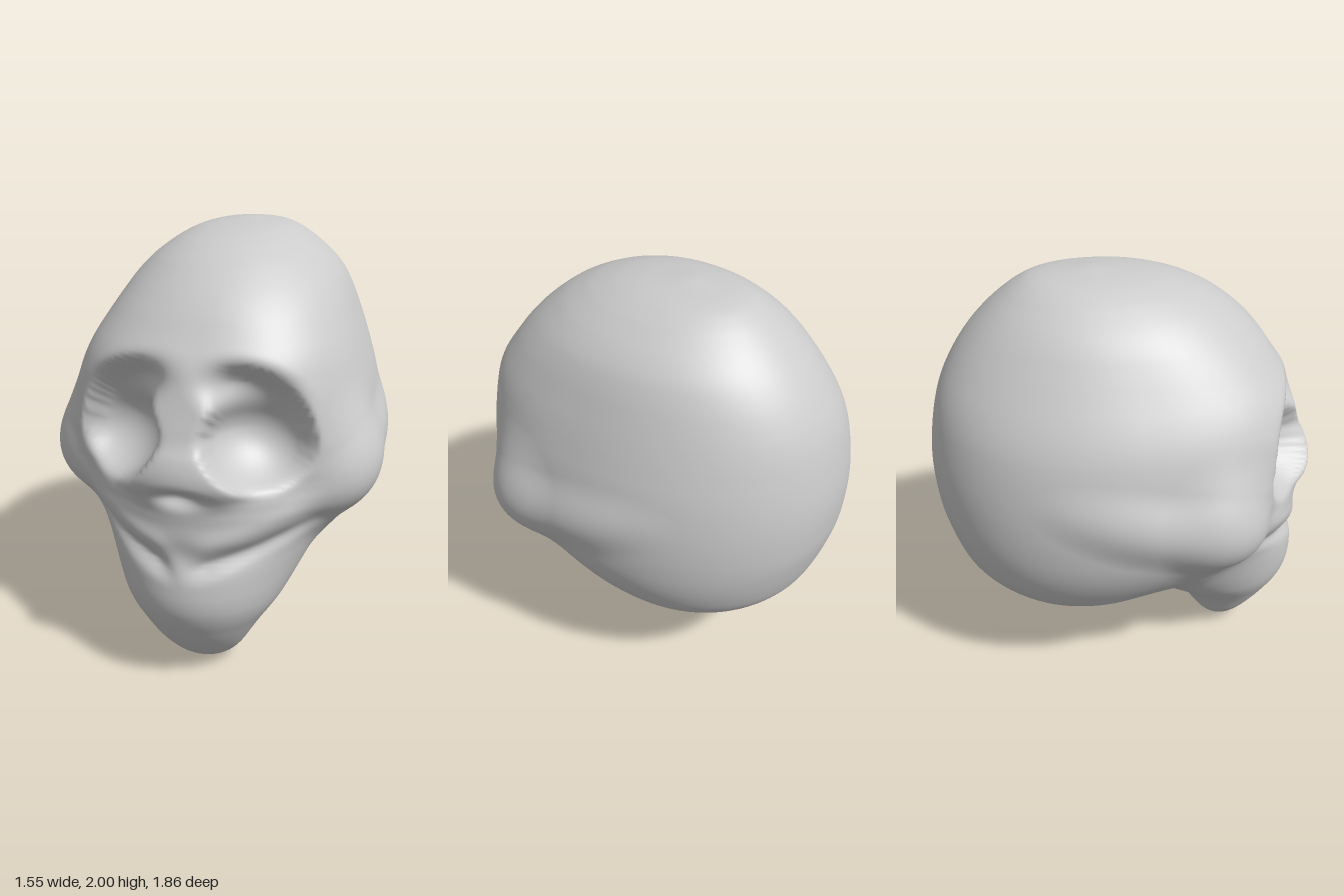
import * as THREE from 'three';
import { mergeVertices } from 'three/addons/utils/BufferGeometryUtils.js';

// Horizontal sections: [y, half width, front z, back z]
const CRANIUM = [
  [0.325, 0.04, -0.36, -0.42], [0.345, 0.22, -0.2, -0.49], [0.37, 0.31, -0.08, -0.54], [0.4, 0.38, 0.02, -0.6],
  [0.5, 0.52, 0.3, -0.74], [0.6, 0.6, 0.46, -0.83], [0.7, 0.66, 0.58, -0.87], [0.8, 0.7, 0.69, -0.9],
  [0.9, 0.72, 0.79, -0.925], [1.0, 0.73, 0.86, -0.935], [1.1, 0.725, 0.88, -0.94], [1.2, 0.71, 0.865, -0.935],
  [1.3, 0.69, 0.83, -0.92], [1.4, 0.66, 0.8, -0.9], [1.5, 0.62, 0.775, -0.87], [1.6, 0.57, 0.7, -0.82],
  [1.7, 0.52, 0.63, -0.755], [1.8, 0.46, 0.53, -0.67], [1.9, 0.35, 0.39, -0.56], [1.96, 0.25, 0.23, -0.47],
  [1.985, 0.18, 0.1, -0.4], [2.005, 0.03, -0.12, -0.18],
];
const JAW = [
  [0, 0.03, 0.53, 0.48], [0.02, 0.09, 0.58, 0.445], [0.05, 0.14, 0.63, 0.41], [0.1, 0.19, 0.68, 0.37],
  [0.2, 0.245, 0.77, 0.31], [0.3, 0.31, 0.83, 0.21], [0.36, 0.36, 0.865, 0.11], [0.45, 0.41, 0.89, -0.06],
  [0.6, 0.49, 0.88, -0.3], [0.68, 0.53, 0.845, -0.3], [0.76, 0.56, 0.865, -0.3], [0.9, 0.58, 0.85, -0.3],
  [1.0, 0.5, 0.75, -0.3],
];

function lookup(rows, y, k) {
  if (y <= rows[0][0]) return rows[0][k];
  for (let i = 1; i < rows.length; i++) {
    const a = rows[i - 1], b = rows[i];
    if (y <= b[0]) return a[k] + (b[k] - a[k]) * (y - a[0]) / (b[0] - a[0]);
  }
  return rows[rows.length - 1][k];
}
// Smoothed table so the sections blend without bands; narrower averaging at the ends
function makeTable(rows) {
  const low = rows[0][0], high = rows[rows.length - 1][0], table = [];
  for (let i = 0; i <= 440; i++) {
    const y = i / 200 - 0.1;
    const step = 0.012 * THREE.MathUtils.clamp(Math.min(y - low, high - y) / 0.1, 0, 1);
    table.push([1, 2, 3].map((k) => {
      let sum = 0;
      for (let j = -4; j <= 4; j++) sum += lookup(rows, y + j * step, k);
      return sum / 9;
    }));
  }
  return { table, low, high };
}
// Superellipse section, its front and back halves with their own exponents
function loft({ table, low, high }, x, y, z, shift, frontPower, backPower) {
  const t = Math.min(439.99, Math.max(0, (y + 0.1) * 200));
  const i = Math.floor(t), f = t - i;
  const [w, zf, zb] = [0, 1, 2].map((k) => table[i][k] * (1 - f) + table[i + 1][k] * f);
  const mid = (zf + zb) / 2 + shift * (zf - zb);
  const rz = z > mid ? zf - mid : mid - zb;
  const n = z > mid ? frontPower : backPower;
  const rho = (Math.abs(x / w) ** n + Math.abs((z - mid) / rz) ** n) ** (1 / n);
  return Math.max((rho - 1) * Math.min(w, rz), y - high, low - y);
}
function ellipsoid(x, y, z, c, r) {
  return (Math.hypot((x - c[0]) / r[0], (y - c[1]) / r[1], (z - c[2]) / r[2]) - 1) * Math.min(...r);
}
function join(a, b, k) {
  const h = Math.max(k - Math.abs(a - b), 0) / k;
  return Math.min(a, b) - h * h * k / 4;
}
const carve = (a, b, k) => -join(-a, b, k);
const smooth = THREE.MathUtils.smoothstep;

const cranium = makeTable(CRANIUM), jaw = makeTable(JAW);

// Solid field of the head: negative inside
function field(x0, y, z) {
  const x = x0 - 0.035 * smooth(y, 1.35, 1.8), ax = Math.abs(x);
  const brow = 1.9 + 0.6 * smooth(y, 1.02, 1.42) - 0.4 * smooth(y, 1.55, 1.85);
  let d = join(loft(cranium, x, y, z, 0.04, brow, 2.1), loft(jaw, x, y, z, 0, 2, 2), 0.18);
  // cheekbone and its arch, rising towards the back
  d = join(d, ellipsoid(ax, y + 0.2 * (z - 0.2), z, [0.55, 1.01, 0.08], [0.205, 0.18, 0.42]), 0.08);
  d = join(d, ellipsoid(ax, y, z, [0.54, 1.01, 0.35], [0.185, 0.2, 0.18]), 0.18);
  // nose, spreading into the cheeks
  d = join(d, ellipsoid(x, y, z, [0, 1.04, 0.8], [0.28, 0.14, 0.12]), 0.05);
  // eye socket, slanted outward below, and the hollow under the brow
  const slant = 0.22 * Math.max(0, 1.2 - y);
  d = carve(d, ellipsoid(ax - slant, y, z, [0.335, 1.185, 0.8], [0.24, 0.21, 0.265]), 0.04);
  d = carve(d, ellipsoid(ax, y + 0.3 * (ax - 0.32), z, [0.32, 1.37, 0.83], [0.22, 0.12, 0.21]), 0.07);
  // nose opening
  d = carve(d, ellipsoid(x, y, z, [0, 0.955, 0.91], [0.09, 0.035, 0.07]), 0.05);
  // grinning mouth crease, shallow in the middle
  if (z > 0.2) {
    const line = 0.6 + 0.36 * ax;
    const fade = smooth(ax, 0, 0.12) * (1 - smooth(ax, 0.35, 0.62));
    d += 0.025 * fade * Math.exp(-(((y - line) / 0.04) ** 2));
    d -= 0.012 * fade * Math.exp(-(((y - line - 0.1) / 0.05) ** 2));
  }
  return d;
}

export function createModel() {
  const group = new THREE.Group();
  group.name = 'head';
  let geo = new THREE.SphereGeometry(1, 256, 192);
  geo.deleteAttribute('uv');
  geo.deleteAttribute('normal');
  geo = mergeVertices(geo, 1e-5);
  const pos = geo.attributes.position, dir = new THREE.Vector3();
  const at = (r) => field(dir.x * r, 1 + dir.y * r, dir.z * r);

  // Push every vertex outward until it meets the surface
  for (let i = 0; i < pos.count; i++) {
    dir.fromBufferAttribute(pos, i).normalize();
    let hi = 0.32;
    while (hi < 1.5 && at(hi) < 0) hi += 0.025;
    let lo = hi - 0.025;
    for (let n = 0; n < 14; n++) {
      const m = (lo + hi) / 2;
      if (at(m) < 0) lo = m; else hi = m;
    }
    pos.setXYZ(i, dir.x * lo, 1 + dir.y * lo, dir.z * lo);
  }
  geo.computeVertexNormals();
  const skull = new THREE.Mesh(geo, new THREE.MeshStandardMaterial({ color: 0xcccccc }));
  skull.name = 'skull';
  group.add(skull);
  return group;
}
